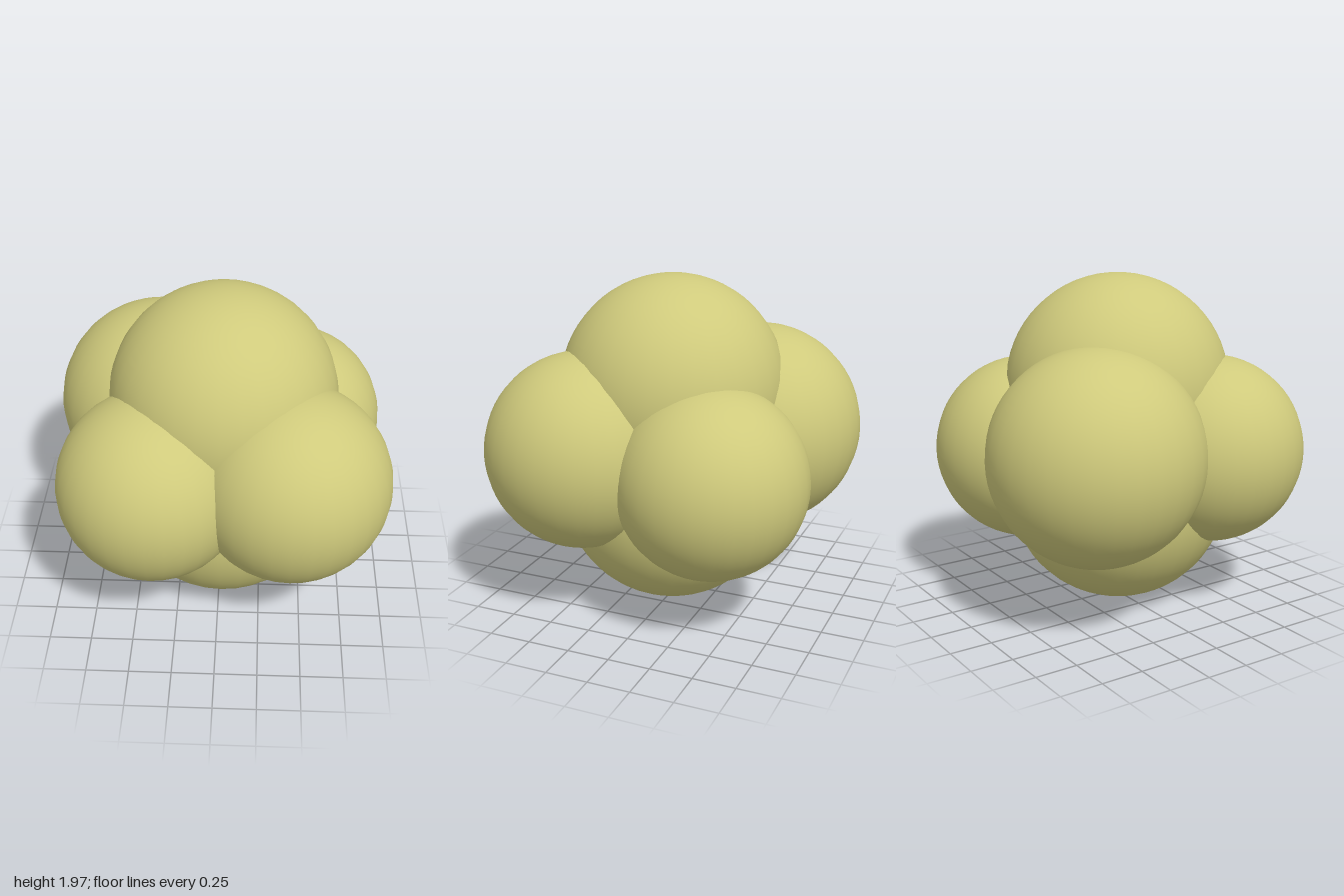
import * as THREE from 'three';

export function createModel() {
  const group = new THREE.Group();
  const material = new THREE.MeshStandardMaterial({ color: 0xcfca7c });

  // Overlapping lobes: name, radius, centre
  const lobes = [
    ['topLobe', 0.665, [0.02, 1.315, 0.025]],
    ['bottomLobe', 0.665, [0.02, 0.675, 0.03]],
    ['frontLeftLobe', 0.575, [0.42, 0.995, 0.42]],
    ['frontRightLobe', 0.555, [-0.375, 0.955, 0.42]],
    ['backLeftLobe', 0.555, [0.42, 0.91, -0.375]],
    ['backRightLobe', 0.62, [-0.38, 1.015, -0.38]],
  ];
  for (const [name, radius, centre] of lobes) {
    const lobe = new THREE.Mesh(new THREE.SphereGeometry(radius, 32, 32), material);
    lobe.name = name;
    lobe.position.set(...centre);
    group.add(lobe);
  }
  return group;
}
